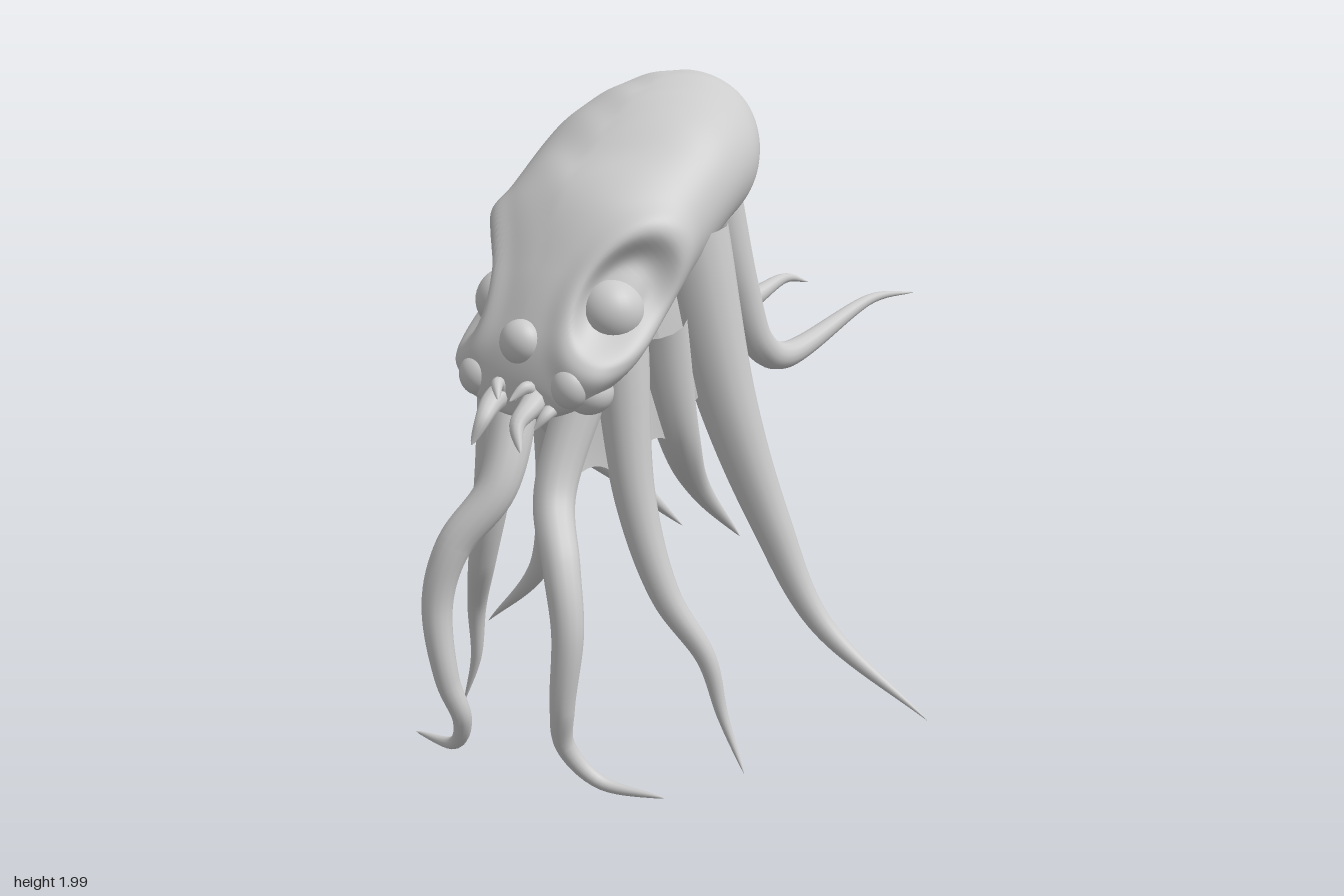
import * as THREE from 'three';

const V = (x, y, z) => new THREE.Vector3(x, y, z);
const skin = new THREE.MeshStandardMaterial({ color: 0xcccccc });
const thinSkin = new THREE.MeshStandardMaterial({ color: 0xcccccc, side: THREE.DoubleSide });

function add(group, name, geometry, material = skin) {
  const mesh = new THREE.Mesh(geometry, material);
  mesh.name = name;
  group.add(mesh);
  return mesh;
}

// Smooth skin over a grid of points; rows may close into rings
function gridSurface(rows, cols, closed, point) {
  const pos = [], index = [], spans = closed ? cols : cols - 1;
  for (let i = 0; i <= rows; i++)
    for (let j = 0; j < cols; j++) pos.push(...point(i / rows, j / spans).toArray());
  for (let i = 0; i < rows; i++)
    for (let j = 0; j < spans; j++) {
      const a = i * cols + j, b = i * cols + (j + 1) % cols;
      index.push(a, b, b + cols, a, b + cols, a + cols);
    }
  const g = new THREE.BufferGeometry();
  g.setAttribute('position', new THREE.Float32BufferAttribute(pos, 3));
  g.setIndex(index);
  g.computeVertexNormals();
  return g;
}

// Tube that narrows to a point at its end
function taperedTube(curve, radius, power, segments = 64, sides = 14) {
  const g = new THREE.TubeGeometry(curve, segments, 1, sides);
  const p = g.attributes.position, n = g.attributes.normal;
  for (let i = 0; i < p.count; i++) {
    const t = Math.floor(i / (sides + 1)) / segments;
    const shrink = radius * Math.pow(1 - t, power) - 1 + 0.0005;
    p.setXYZ(i, p.getX(i) + n.getX(i) * shrink, p.getY(i) + n.getY(i) * shrink, p.getZ(i) + n.getZ(i) * shrink);
  }
  return g;
}

const path = (points, side) => new THREE.CatmullRomCurve3(points.map(([x, y, z]) => V(x * side, y, z)));

// Head sections from crown to snout: top z, top y, bottom z, bottom y, half width
const sections = [
  [-0.217, 1.83, -0.217, 1.82, 0.005],
  [-0.205, 1.92, -0.208, 1.72, 0.11],
  [-0.16, 1.98, -0.175, 1.64, 0.2],
  [-0.07, 2.0, -0.11, 1.575, 0.265],
  [0.05, 1.985, -0.03, 1.53, 0.312],
  [0.217, 1.926, 0.1, 1.48, 0.335],
  [0.40, 1.81, 0.22, 1.41, 0.335],
  [0.56, 1.69, 0.35, 1.32, 0.33],
  [0.68, 1.50, 0.54, 1.17, 0.31],
  [0.74, 1.38, 0.64, 1.11, 0.265],
  [0.775, 1.29, 0.72, 1.085, 0.215],
  [0.79, 1.2, 0.77, 1.09, 0.13],
  [0.788, 1.15, 0.788, 1.14, 0.005],
];
const topLine = new THREE.CatmullRomCurve3(sections.map(s => V(0, s[1], s[0])));
const bottomLine = new THREE.CatmullRomCurve3(sections.map(s => V(s[4], s[3], s[2])));

const socket = V(0.25, 1.42, 0.6);
const socketAxis = V(0.2, 0.68, -0.62).normalize();

function headPoint(u, v) {
  const top = topLine.getPoint(u), low = bottomLine.getPoint(u);
  const width = Math.max(low.x, 0.002), a = v * Math.PI * 2;
  low.x = 0;
  const p = low.lerp(top, 0.5 + 0.5 * Math.sin(a));
  p.x = width * Math.cos(a);
  // Shallow chevron folds along the crown
  const fold = Math.max(0, Math.sin(a)) ** 3 * Math.sin(Math.PI * u);
  p.y += 0.0025 * fold * Math.sin((p.z + Math.abs(p.x) * 0.7) * 38);
  // Hollow eye sockets with a raised brow rim
  const d = V(Math.abs(p.x), p.y, p.z).sub(socket);
  const along = d.dot(socketAxis);
  const across = Math.sqrt(Math.max(0, d.lengthSq() - along * along));
  const r = Math.hypot(along / 0.21, across / 0.125);
  const depth = 0.075 * (1 - THREE.MathUtils.smoothstep(r, 0.5, 1.05)) - 0.014 * Math.exp(-(((r - 1.2) / 0.2) ** 2));
  p.x -= Math.sign(p.x) * depth * 0.75;
  p.z -= depth * 0.65;
  return p;
}

// Arms on the +x side: root radius, taper power, path from root to tip
const arms = {
  frontArm: [0.072, 0.65, [[0.12, 1.2, 0.6], [0.1, 0.87, 0.745], [0.19, 0.7, 0.84], [0.23, 0.53, 0.87], [0.205, 0.3, 0.865], [0.185, 0.17, 0.825], [0.26, 0.06, 0.77], [0.45, 0.035, 0.72]]],
  cheekArm: [0.08, 0.8, [[0.2, 1.27, 0.56], [0.25, 0.85, 0.565], [0.33, 0.56, 0.53], [0.42, 0.36, 0.45], [0.455, 0.18, 0.415], [0.52, 0.01, 0.4]]],
  longSideArm: [0.12, 0.9, [[0.22, 1.56, 0.24], [0.31, 1.05, 0.16], [0.4, 0.68, 0.06], [0.53, 0.35, -0.03], [0.845, 0.06, -0.147]]],
  innerArm: [0.09, 0.85, [[0.24, 1.33, 0.44], [0.22, 0.97, 0.29], [0.14, 0.74, 0.05], [0.11, 0.5, -0.25]]],
  shortInnerArm: [0.07, 0.85, [[0.13, 1.4, 0.3], [0.2, 1.07, 0.12], [0.16, 0.84, -0.1]]],
  longRearArm: [0.075, 0.85, [[0.17, 1.64, 0], [0.21, 1.35, -0.07], [0.235, 1.17, -0.145], [0.25, 1.11, -0.27], [0.34, 1.235, -0.7], [0.39, 1.23, -0.9]]],
  shortRearArm: [0.065, 0.85, [[0.12, 1.58, 0.1], [0.15, 1.37, 0], [0.18, 1.295, -0.11], [0.21, 1.34, -0.35], [0.22, 1.31, -0.48]]],
};

// Hooked mouth fangs: root radius, path
const fangs = {
  largeFang: [0.042, [[0.06, 1.16, 0.74], [0.065, 1.13, 0.81], [0.06, 1.09, 0.86], [0.085, 1.02, 0.88]]],
  smallFang: [0.028, [[0.05, 1.15, 0.76], [0.05, 1.185, 0.8], [0.02, 1.15, 0.84]]],
  outerFang: [0.028, [[0.11, 1.14, 0.73], [0.105, 1.11, 0.79], [0.08, 1.07, 0.81]]],
};

// Webs: two neighbouring arms and how far along each the web reaches
const webs = [
  ['frontArm', 'cheekArm', 0.25, 0.3],
  ['cheekArm', 'innerArm', 0.28, 0.4],
  ['innerArm', 'longSideArm', 0.35, 0.33],
  ['innerArm', 'shortInnerArm', 0.38, 0.4],
];

function webBetween(a, b, reachA, reachB) {
  return gridSurface(12, 13, false, (u, v) => {
    const hang = 1 - 0.2 * Math.sin(Math.PI * v);
    return a.getPointAt(u * reachA * hang).lerp(b.getPointAt(u * reachB * hang), v);
  });
}

function ball(group, name, x, y, z, r, sy, sz) {
  const m = add(group, name, new THREE.SphereGeometry(r, 28, 20));
  m.position.set(x, y, z);
  m.scale.set(1, sy, sz);
}

export function createModel() {
  const model = new THREE.Group();
  model.name = 'tentacledHead';

  add(model, 'head', gridSurface(130, 144, true, headPoint));
  ball(model, 'browOrb', 0, 1.3, 0.755, 0.065, 1, 0.85);

  for (const side of [1, -1]) {
    const half = new THREE.Group();
    half.name = side > 0 ? 'leftSide' : 'rightSide';
    model.add(half);

    ball(half, 'eye', side * 0.18, 1.375, 0.575, 0.095, 1, 1);
    ball(half, 'cheekOrb', side * 0.16, 1.19, 0.75, 0.055, 1.1, 0.9);
    ball(half, 'cheek', side * 0.175, 1.165, 0.68, 0.07, 0.9, 1);

    for (const [name, [radius, points]] of Object.entries(fangs))
      add(half, name, taperedTube(path(points, side), radius, 0.65, 20, 10));

    const curves = {};
    for (const [name, [radius, power, points]] of Object.entries(arms)) {
      curves[name] = path(points, side);
      add(half, name, taperedTube(curves[name], radius, power));
    }
    for (const [a, b, reachA, reachB] of webs)
      add(half, 'web', webBetween(curves[a], curves[b], reachA, reachB), thinSkin);
  }
  return model;
}
